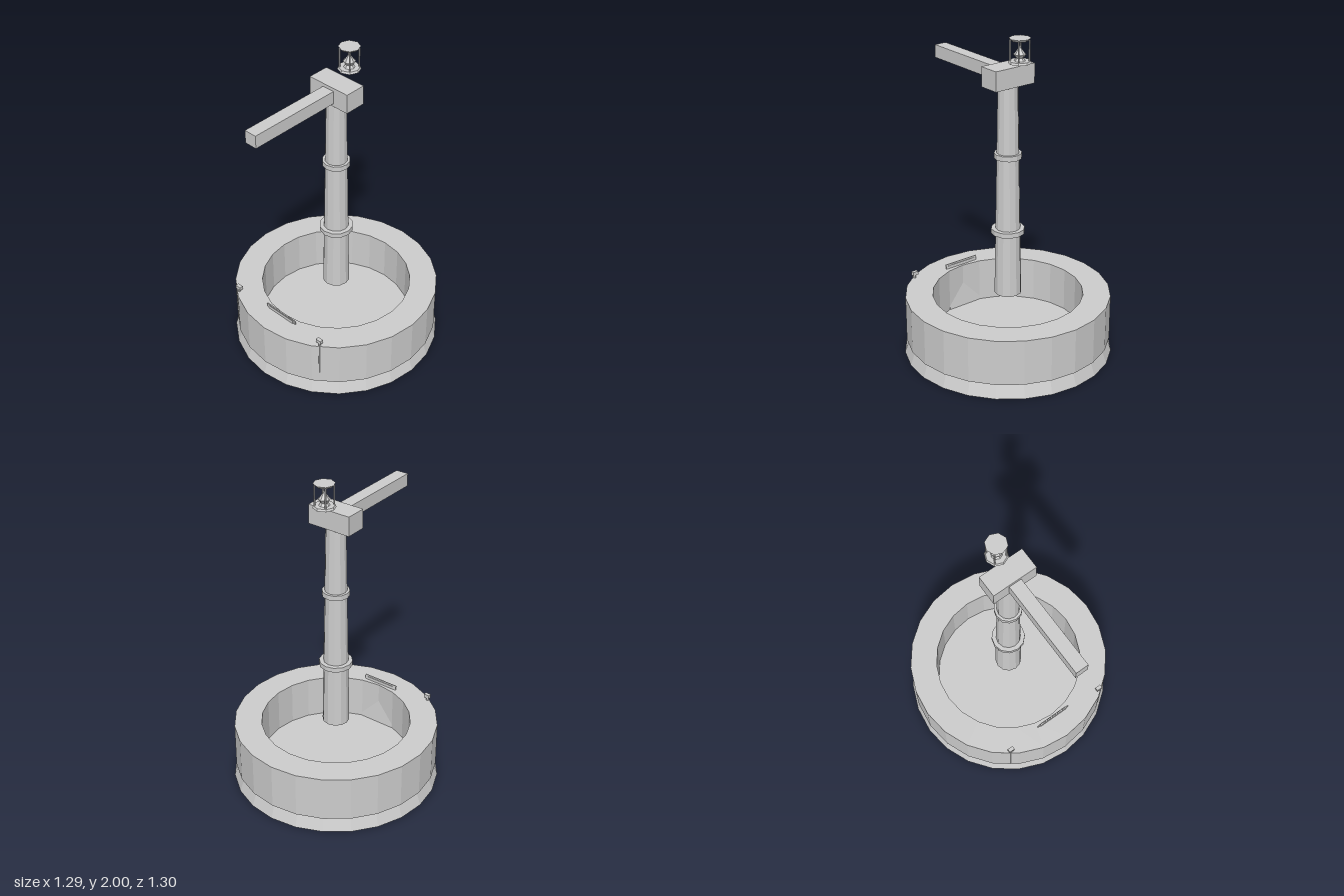
import * as THREE from 'three';

export function createModel() {
  const model = new THREE.Group();
  model.name = 'fountain';
  const stone = new THREE.MeshStandardMaterial({ color: 0xcccccc, flatShading: true, side: THREE.DoubleSide });
  stone.name = 'stone grey';
  const Z = -0.01; // axis of basin and column

  const add = (name, geometry, x, y, z, parent = model) => {
    const mesh = new THREE.Mesh(geometry, stone);
    mesh.name = name;
    mesh.position.set(x, y, z);
    parent.add(mesh);
    return mesh;
  };
  const box = (name, w, h, d, x, y, z, parent) => add(name, new THREE.BoxGeometry(w, h, d), x, y, z, parent);
  // Cylinder given by its bottom and top heights
  const drum = (name, rBottom, rTop, y0, y1, sides, z = Z, x = 0, parent = model) =>
    add(name, new THREE.CylinderGeometry(rTop, rBottom, y1 - y0, sides), x, (y0 + y1) / 2, z, parent);
  const lathe = (name, points, sides) =>
    add(name, new THREE.LatheGeometry(points.map(p => new THREE.Vector2(...p)), sides), 0, 0, Z);

  // Basin: hollow flared foot, then wall and floor
  lathe('basinFoot', [[0.643, 0], [0.612, 0.09]], 24);
  lathe('basin', [[0, 0.088], [0.63, 0.088], [0.63, 0.375], [0.462, 0.375], [0.462, 0.1], [0, 0.1]], 24);

  // Tapered column with two collars
  drum('column', 0.083, 0.06, 0.375, 1.7, 12);
  drum('lowerCollar', 0.102, 0.102, 0.775, 0.805, 12);
  drum('upperCollar', 0.083, 0.083, 1.255, 1.287, 12);

  // Head block and projecting arm
  box('headBlock', 0.284, 0.12, 0.134, 0, 1.76, -0.012);
  box('arm', 0.08, 0.08, 0.6, 0, 1.76, 0.35);

  // Lantern above the back of the head
  const lantern = new THREE.Group();
  lantern.name = 'lantern';
  lantern.position.z = -0.116;
  model.add(lantern);
  drum('lanternBase', 0.068, 0.062, 1.855, 1.868, 8, 0, 0, lantern);
  drum('lanternRoof', 0.05, 0.064, 1.985, 2.0, 8, 0, 0, lantern);
  for (const x of [-1, 1]) for (const z of [-1, 1])
    drum('lanternBar', 0.005, 0.005, 1.866, 1.987, 6, z * 0.039, x * 0.039, lantern);
  drum('burnerFoot', 0.033, 0.02, 1.868, 1.885, 8, 0, 0, lantern);
  drum('burnerCup', 0.022, 0.038, 1.885, 1.906, 8, 0, 0, lantern);
  drum('flame', 0.034, 0, 1.906, 1.955, 8, 0, 0, lantern);

  // Sloping sheet at the front of the basin, hung over a small lip
  const sheet = box('spillSheet', 0.238, 0.325, 0.006, 0, 0.243, 0.454);
  sheet.rotation.x = Math.atan2(0.04, 0.325);
  box('spillLip', 0.2, 0.02, 0.012, 0, 0.385, 0.472);

  // Small knobs on the rim with rods down the outside
  for (const s of [-1, 1]) {
    box('rimKnob', 0.037, 0.023, 0.023, s * 0.343, 0.408, 0.497);
    drum('knobStem', 0.008, 0.008, 0.37, 0.4, 6, 0.497, s * 0.345);
    drum('wallRod', 0.005, 0.005, 0.12, 0.4, 6, 0.506, s * 0.35);
  }
  return model;
}
